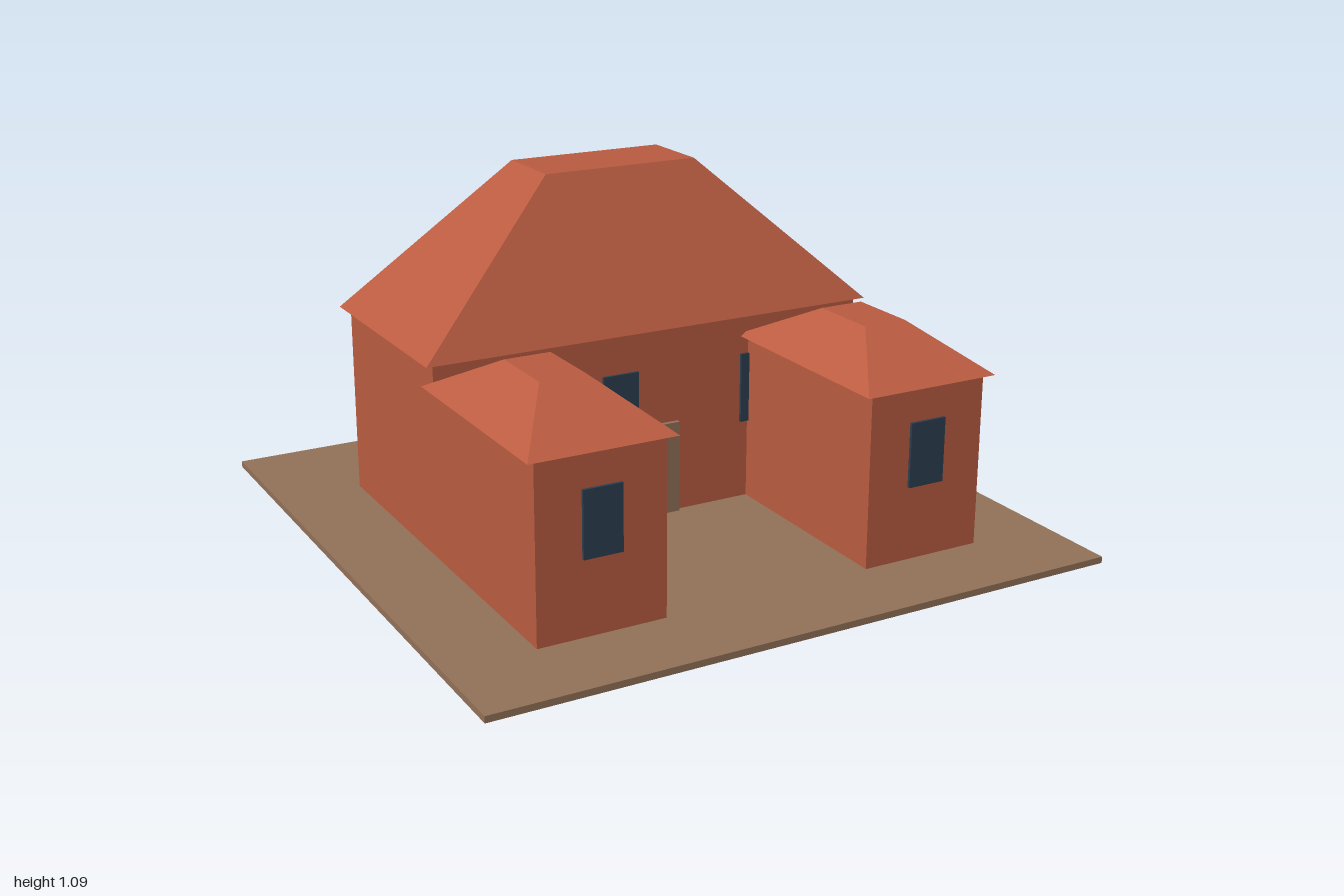
import * as THREE from 'three';

function material(name, color) {
  const m = new THREE.MeshStandardMaterial({ color });
  m.name = name;
  return m;
}

// Box given by its lower and upper bounds
function boxGeometry(x0, x1, y0, y1, z0, z1) {
  return new THREE.BoxGeometry(x1 - x0, y1 - y0, z1 - z0)
    .translate((x0 + x1) / 2, (y0 + y1) / 2, (z0 + z1) / 2);
}

// Hipped roof with a flat top: the upper corners of a box move inwards
function roofGeometry([x0, x1, z0, z1], [tx0, tx1, tz0, tz1], y0, y1) {
  const g = boxGeometry(x0, x1, y0, y1, z0, z1);
  const p = g.attributes.position;
  const middleX = (x0 + x1) / 2, middleZ = (z0 + z1) / 2, middleY = (y0 + y1) / 2;
  for (let i = 0; i < p.count; i++) {
    if (p.getY(i) < middleY) continue;
    p.setX(i, p.getX(i) < middleX ? tx0 : tx1);
    p.setZ(i, p.getZ(i) < middleZ ? tz0 : tz1);
  }
  g.computeVertexNormals();
  return g;
}

export function createModel() {
  const house = new THREE.Group();
  house.name = 'house';
  const brick = material('brick red', 0xbb5c41);
  const earth = material('earth brown', 0x937258);
  const glass = material('dark glass', 0x2c3e50);

  function add(name, geometry, mat) {
    const mesh = new THREE.Mesh(geometry, mat);
    mesh.name = name;
    house.add(mesh);
  }

  // Ground slab
  add('ground', boxGeometry(-1, 1, 0, 0.02, -1, 1), earth);

  // Main block
  add('mainWalls', boxGeometry(-0.73, 0.73, 0.02, 0.625, -0.598, 0.07), brick);
  add('mainRoof', roofGeometry([-0.757, 0.757, -0.625, 0.091],
    [-0.257, 0.257, -0.388, -0.146], 0.625, 1.09), brick);

  // Front wings, mirrored
  for (const s of [-1, 1]) {
    const side = s < 0 ? 'right' : 'left';
    const cx = s * 0.532;
    add(side + 'WingWalls', boxGeometry(cx - 0.198, cx + 0.198, 0.02, 0.556, 0.06, 0.735), brick);
    add(side + 'WingRoof', roofGeometry([cx - 0.225, cx + 0.225, 0.043, 0.757],
      [cx - 0.072, cx + 0.072, 0.288, 0.514], 0.556, 0.683), brick);
    add(side + 'WingWindow', boxGeometry(cx - 0.06, cx + 0.06, 0.25, 0.45, 0.735, 0.744), glass);
  }

  // Windows of the main block, evenly spaced with one bay left blank
  for (const bay of [-5, -3, -1, 3, 5]) {
    const x = bay * 0.1217;
    add('backWindow', boxGeometry(x - 0.06, x + 0.06, 0.275, 0.5, -0.607, -0.598), glass);
    if (Math.abs(bay) < 5) {
      add('frontWindow', boxGeometry(x - 0.06, x + 0.06, 0.275, 0.5, 0.07, 0.079), glass);
    }
  }

  // Door
  add('door', boxGeometry(-0.08, 0.08, 0.02, 0.317, 0.07, 0.085), earth);

  return house;
}
